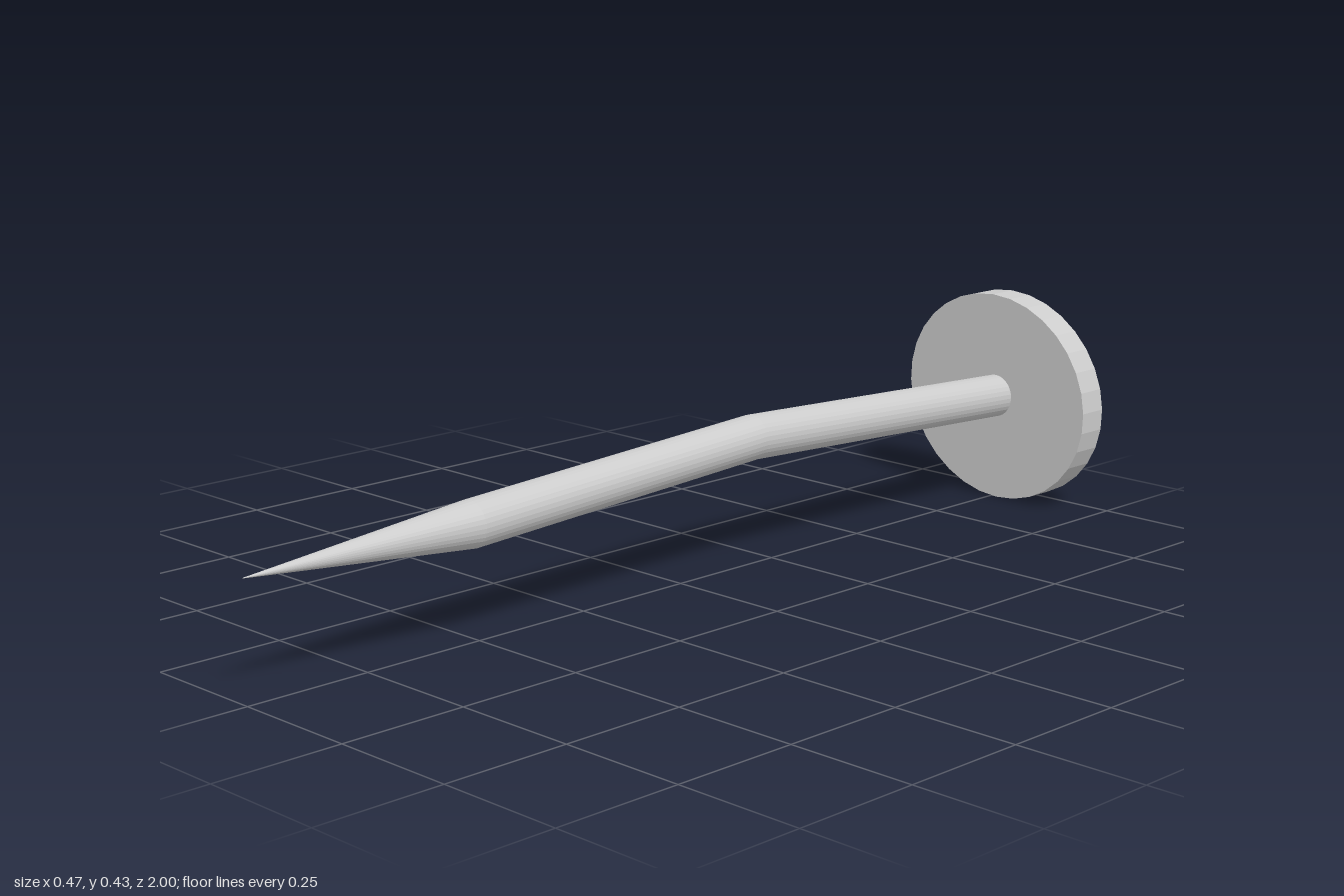
import * as THREE from 'three';

const SIDES = 32;
const material = new THREE.MeshStandardMaterial({ color: 0xcccccc, flatShading: true });

// Round shank through stations [x, y, z, radius], running from the head to the tip
function shankGeometry(stations) {
  const geometry = new THREE.CylinderGeometry(1, 1, 1, SIDES, stations.length - 1, true);
  geometry.rotateX(Math.PI / 2);
  const p = geometry.attributes.position;
  for (let i = 0; i < p.count; i++) {
    // rows start at the +z end, so read the stations backwards
    const row = Math.floor(i / (SIDES + 1));
    const [x, y, z, r] = stations[stations.length - 1 - row];
    p.setXYZ(i, x + p.getX(i) * r, y + p.getY(i) * r, z);
  }
  geometry.computeVertexNormals();
  return geometry;
}

// Slightly oval disc, leaning a little off square
function headGeometry() {
  const geometry = new THREE.CylinderGeometry(1, 1, 0.064, SIDES);
  geometry.rotateX(Math.PI / 2);
  geometry.scale(0.236, 0.212, 1);
  geometry.rotateZ(-0.36);
  const p = geometry.attributes.position;
  for (let i = 0; i < p.count; i++) {
    p.setZ(i, p.getZ(i) + 0.01 * p.getX(i) - 0.02 * p.getY(i));
  }
  geometry.translate(0, 0.218, -0.9635);
  geometry.computeVertexNormals();
  return geometry;
}

export function createModel() {
  const group = new THREE.Group();
  group.name = 'bentNail';

  const head = new THREE.Mesh(headGeometry(), material);
  head.name = 'head';

  // Shank bends upward in the middle and tapers to a point
  const shank = new THREE.Mesh(shankGeometry([
    [0, 0.219, -0.95, 0.044],
    [-0.008, 0.252, -0.2, 0.044],
    [-0.001, 0.219, 0.515, 0.044],
    [0, 0.222, 1, 0.0005],
  ]), material);
  shank.name = 'shank';

  group.add(head, shank);
  return group;
}
